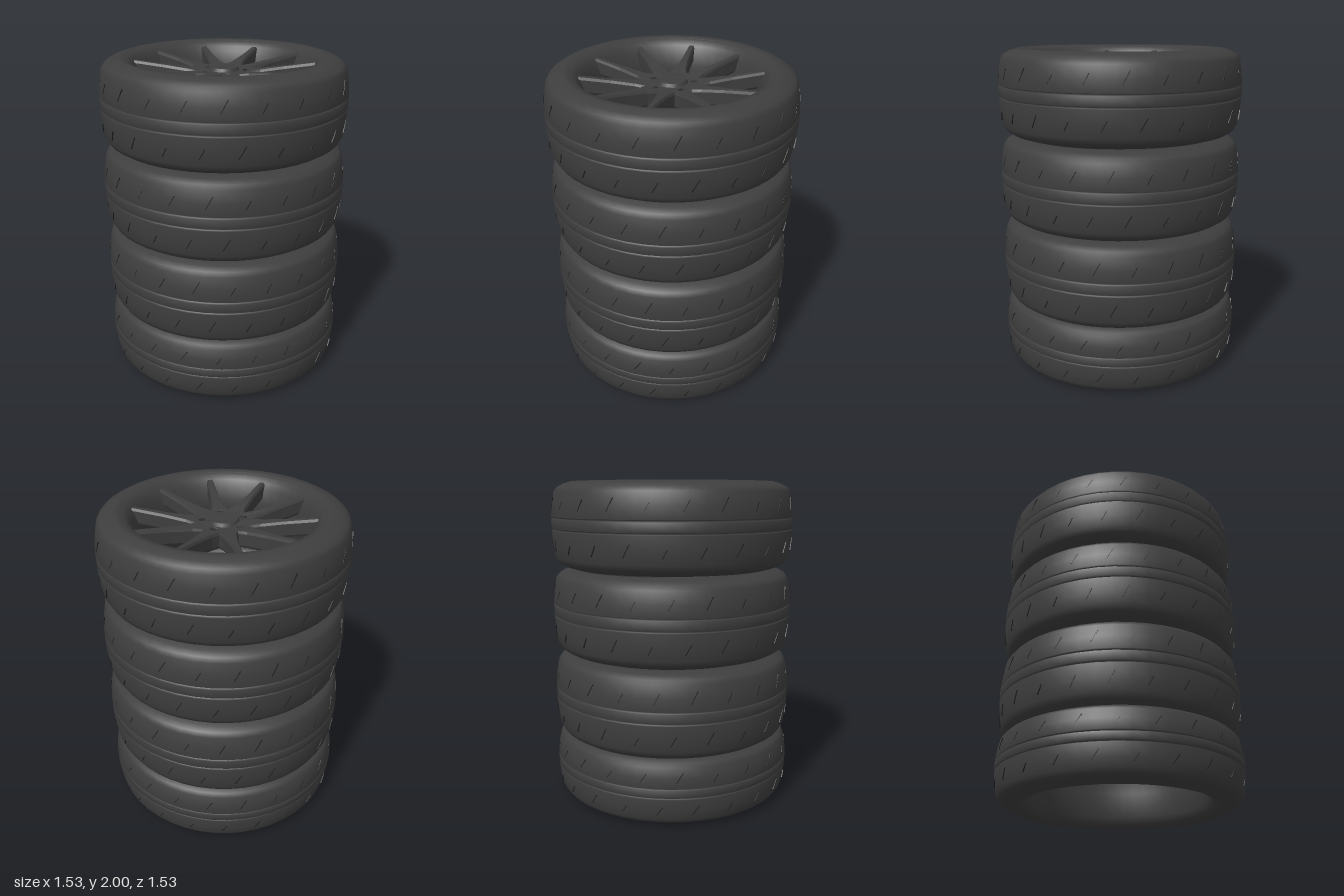
import * as THREE from 'three';
import { mergeGeometries } from 'three/addons/utils/BufferGeometryUtils.js';

const rubber = new THREE.MeshStandardMaterial({ color: 0x3e3e3e });
rubber.name = 'dark rubber';
const shadowRubber = new THREE.MeshStandardMaterial({ color: 0x222222 });
shadowRubber.name = 'tread cut black';

const HALF = 0.265; // half height of a full tyre
const SEGMENTS = 48;

function mesh(name, geometry, material = rubber) {
  const m = new THREE.Mesh(geometry, material);
  m.name = name;
  return m;
}

// Lathe from [radius, height] pairs
function lathe(points) {
  return new THREE.LatheGeometry(points.map(([r, y]) => new THREE.Vector2(r, y)), SEGMENTS);
}

// Outer tyre skin with rounded shoulders and two narrow grooves
function tyreSkin() {
  const groove = y => [[0.764, y - 0.007], [0.75, y - 0.005], [0.75, y + 0.005], [0.764, y + 0.007]];
  return lathe([
    [0.595, -0.25], [0.61, -0.262], [0.64, -HALF], [0.69, -0.25], [0.725, -0.228], [0.744, -0.195],
    [0.754, -0.13], ...groove(-0.025), ...groove(0.045),
    [0.757, 0.13], [0.744, 0.205], [0.725, 0.23], [0.69, 0.25], [0.64, HALF], [0.61, 0.262], [0.595, 0.25],
  ]);
}

// Inside wall of a wheel, running from the upper lip down to the lower lip
function barrel(neck) {
  return lathe([
    [0.6, 0.256], [0.58, 0.25], [0.555, 0.225], [0.535, 0.19], [neck, 0.11],
    [neck, 0.02], [0.535, -0.08], [0.55, -0.18], [0.565, -0.235], [0.6, -0.256],
  ]);
}

// Slanted hairline cuts on both shoulders of the tread
function treadCuts(offset) {
  const cuts = [];
  for (let i = 0; i < 22; i++) {
    for (const side of [1, -1]) {
      const length = 0.06 + 0.025 * ((i * 7 + (side > 0 ? 0 : 3)) % 3) / 2;
      const g = new THREE.BoxGeometry(0.005, length, 0.008);
      g.rotateZ(-0.5);
      g.rotateX(-side * 0.09);
      g.translate(0, side * 0.125 + 0.008 * ((i % 3) - 1), 0.754);
      g.rotateY((i + (side > 0 ? 0 : 0.45)) / 22 * Math.PI * 2 + offset);
      cuts.push(g);
    }
  }
  return mergeGeometries(cuts);
}

// Ten tapered spokes and the hub as one star, dished toward the middle
function spokeStar() {
  const shape = new THREE.Shape();
  const count = 10;
  const put = (a, r, side) => {
    const x = Math.sin(a) * r + Math.cos(a) * side;
    const y = Math.cos(a) * r - Math.sin(a) * side;
    shape.currentPoint.lengthSq() === 0 && shape.curves.length === 0 ? shape.moveTo(x, y) : shape.lineTo(x, y);
  };
  for (let i = 0; i < count; i++) {
    const a = i / count * Math.PI * 2;
    put(a, 0.22, -0.033);
    put(a, 0.36, -0.018);
    put(a, 0.55, -0.013);
    put(a, 0.55, 0.013);
    put(a, 0.36, 0.018);
    put(a, 0.22, 0.033);
    put(a + Math.PI / count, 0.17, 0);
  }
  shape.closePath();
  // Bolt holes
  for (let i = 0; i < 5; i++) {
    const a = (i + 0.5) / 5 * Math.PI * 2;
    const hole = new THREE.Path();
    hole.absarc(Math.sin(a) * 0.13, Math.cos(a) * 0.13, 0.022, 0, Math.PI * 2, true);
    shape.holes.push(hole);
  }
  const g = new THREE.ExtrudeGeometry(shape, {
    depth: 0.07, bevelEnabled: true, bevelThickness: 0.015, bevelSize: 0.008, bevelSegments: 1, curveSegments: 5,
  });
  g.rotateX(-Math.PI / 2);
  const p = g.attributes.position;
  for (let i = 0; i < p.count; i++) {
    const r = Math.hypot(p.getX(i), p.getZ(i));
    p.setY(i, p.getY(i) + Math.max(0, r - 0.15) * 0.13);
  }
  g.computeVertexNormals();
  return g;
}

export function createModel() {
  const model = new THREE.Group();
  model.name = 'tyreStack';

  // Stack from the bottom up; the lowest tyre is squashed
  const stack = [
    { y: 0.212, half: 0.212, neck: 0.54 },
    { y: 0.665, half: HALF, neck: 0.53 },
    { y: 1.2, half: HALF, neck: 0.53 },
    { y: 1.735, half: HALF, neck: 0.505 },
  ];
  const skin = tyreSkin();
  stack.forEach(({ y, half, neck }, i) => {
    const wheel = new THREE.Group();
    wheel.name = 'wheel' + (i + 1);
    wheel.add(mesh('tyre', skin), mesh('rimBarrel', barrel(neck)));
    wheel.add(mesh('treadCuts', treadCuts(i * 0.11), shadowRubber));
    wheel.position.y = y;
    wheel.scale.y = half / HALF;
    model.add(wheel);
  });

  // Spokes and centre cap fill the uppermost wheel only
  const spokes = mesh('spokes', spokeStar());
  spokes.position.y = 1.825;
  const cap = mesh('centreCap', new THREE.CylinderGeometry(0.085, 0.1, 0.03, 20));
  cap.position.y = 1.915;
  model.add(spokes, cap);
  return model;
}
